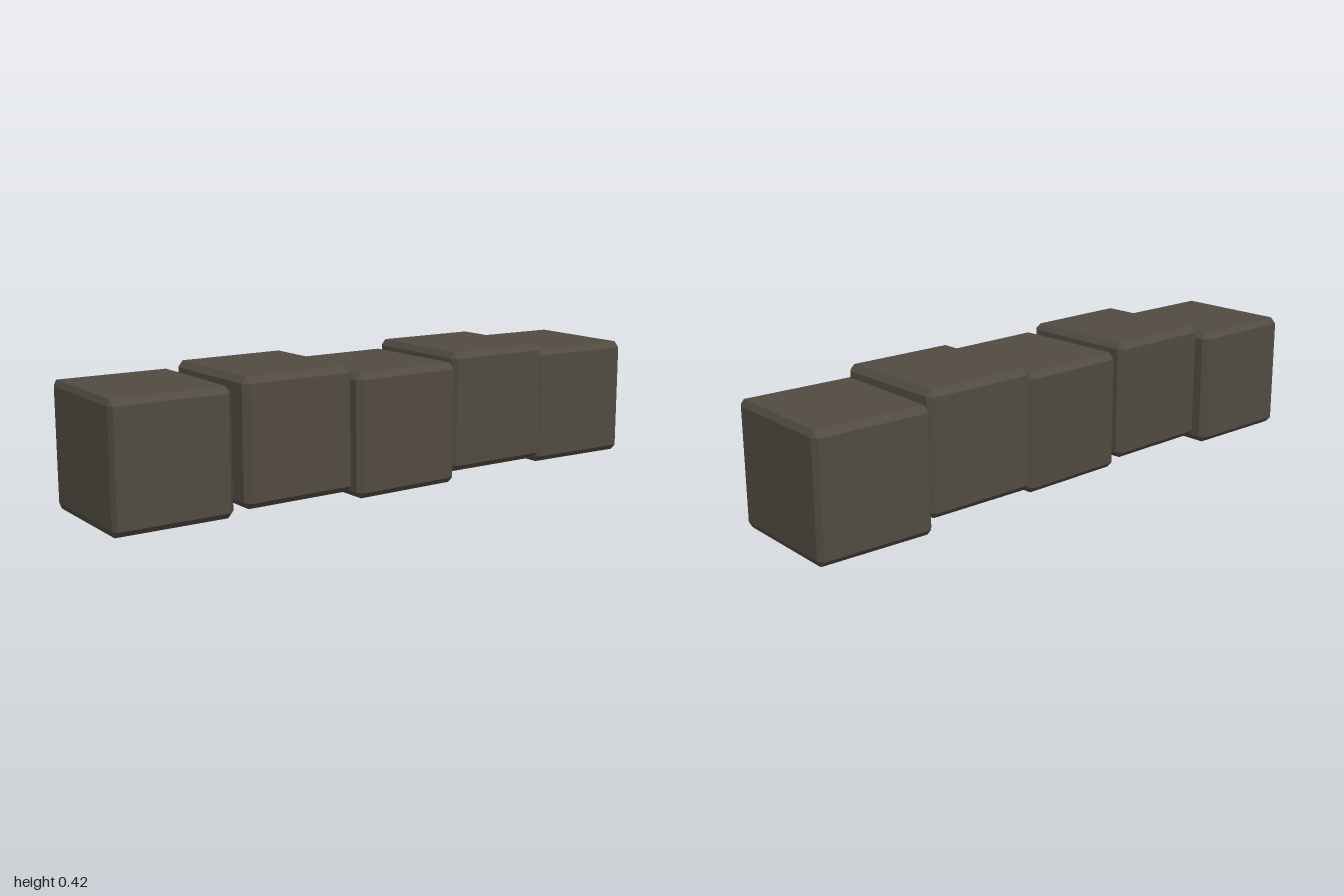
import * as THREE from 'three';
import { ConvexGeometry } from 'three/addons/geometries/ConvexGeometry.js';

// Box with flat bevels; the left and right bevel widths can differ
function bevelledBlock(w, h, d, bevelNegX, bevelPosX, bevel) {
  const points = [];
  for (const sx of [-1, 1]) for (const sy of [-1, 1]) for (const sz of [-1, 1]) {
    const bx = sx < 0 ? bevelNegX : bevelPosX;
    const x = sx * w / 2, y = sy * h / 2, z = sz * d / 2;
    const xi = x - sx * bx, yi = y - sy * bevel, zi = z - sz * bevel;
    points.push(
      new THREE.Vector3(x, yi, zi),
      new THREE.Vector3(xi, y, zi),
      new THREE.Vector3(xi, yi, z),
    );
  }
  return new ConvexGeometry(points);
}

export function createModel() {
  const group = new THREE.Group();
  group.name = 'stoneRow';
  const stone = new THREE.MeshStandardMaterial({ color: 0x514b41 });
  stone.name = 'dark stone';

  // Row of slightly uneven blocks, alternately low and high
  const blocks = [
    { x: -0.806, y: 0.201, z: -0.005, yaw: 0, bevels: [0.008, 0.018] },
    { x: -0.405, y: 0.228, z: 0.023, yaw: 0.024, bevels: [0.016, 0.016] },
    { x: -0.006, y: 0.201, z: 0.026, yaw: 0.028, bevels: [0.018, 0.014] },
    { x: 0.397, y: 0.228, z: -0.002, yaw: 0, bevels: [0.014, 0.016] },
    { x: 0.800, y: 0.201, z: -0.033, yaw: -0.028, bevels: [0.016, 0.011] },
  ];
  blocks.forEach(({ x, y, z, yaw, bevels }, i) => {
    const block = new THREE.Mesh(bevelledBlock(0.388, 0.398, 0.425, ...bevels, 0.02), stone);
    block.name = `stoneBlock${i + 1}`;
    block.position.set(x, y, z);
    block.rotation.y = yaw;
    group.add(block);
  });
  return group;
}
